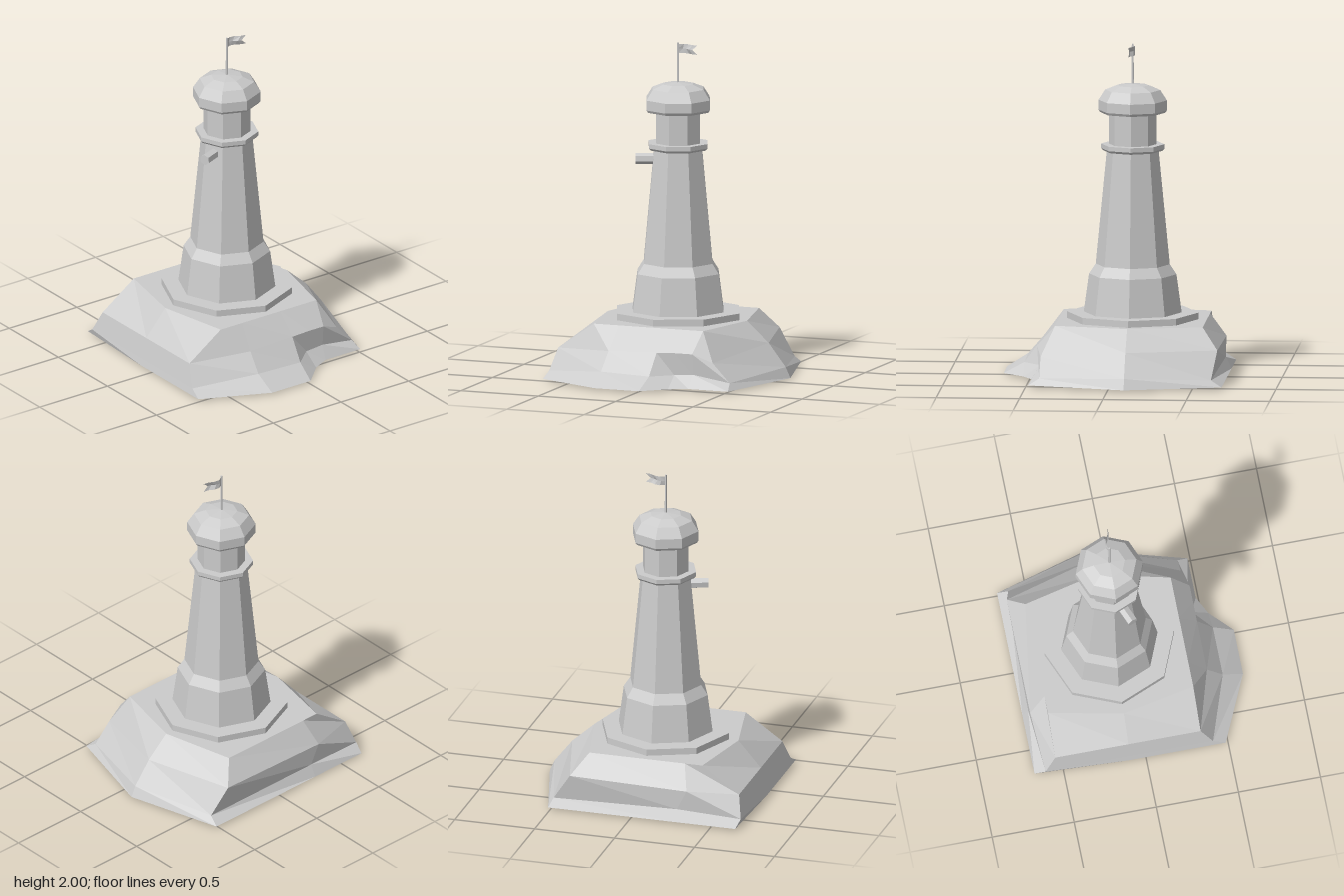
import * as THREE from 'three';

const CX = -0.045, CZ = -0.1; // tower axis

const grey = (double = false) => new THREE.MeshStandardMaterial({
  color: 0xcccccc, flatShading: true, side: double ? THREE.DoubleSide : THREE.FrontSide,
});

function add(parent, name, geometry, double) {
  const mesh = new THREE.Mesh(geometry, grey(double));
  mesh.name = name;
  parent.add(mesh);
  return mesh;
}

// Eight-sided turned part from [radius, height] pairs, listed bottom to top
function octagonal(parent, name, profile) {
  const points = profile.map(([r, y]) => new THREE.Vector2(r, y));
  return add(parent, name, new THREE.LatheGeometry(points, 8));
}

// Rock: columns run around the island, each going from the plateau to the shore
function rockGeometry() {
  const columns = [
    [[-.50, .34, -.10], [-.64, .18, -.10], [-.67, .05, -.10], [-.68, .01, -.10]],
    [[-.41, .34, .34], [-.64, .18, .34], [-.67, .05, .41], [-.68, .01, .485]],
    [[-.25, .34, .34], [-.27, .20, .45], [-.28, .09, .545], [-.27, .01, .67]],
    [[.03, .34, .34], [.04, .21, .45], [.03, .08, .545], [.015, .01, .67]],
    [[.17, .34, .34], [.16, .215, .45], [.15, .08, .44], [.15, .01, .54]],
    [[.296, .34, .34], [.27, .215, .45], [.27, .09, .44], [.26, .01, .485]],
    [[.296, .34, .34], [.39, .165, .42], [.50, .05, .42], [.515, .01, .485]],
    [[.40, .34, -.10], [.54, .215, -.10], [.65, .075, -.10], [.68, .01, -.10]],
    [[.296, .34, -.545], [.39, .215, -.64], [.50, .05, -.61], [.515, .01, -.675]],
    [[-.30, .34, -.545], [-.34, .20, -.64], [-.28, .08, -.64], [-.28, .01, -.675]],
    [[-.41, .34, -.545], [-.64, .18, -.545], [-.67, .05, -.61], [-.655, .01, -.675]],
  ];
  const n = columns.length;
  const position = columns.flat(2);
  position.push(CX, 0.34, CZ, CX, 0, CZ);
  const index = [];
  for (let i = 0; i < n; i++) {
    const a = i * 4, b = ((i + 1) % n) * 4;
    for (let r = 0; r < 3; r++) {
      index.push(a + r, a + r + 1, b + r + 1, a + r, b + r + 1, b + r);
    }
    index.push(n * 4, a, b);              // plateau
    index.push(n * 4 + 1, b + 3, a + 3);  // underside
  }
  const geometry = new THREE.BufferGeometry();
  geometry.setAttribute('position', new THREE.Float32BufferAttribute(position, 3));
  geometry.setIndex(index);
  geometry.computeVertexNormals();
  return geometry;
}

// Waving flag with a swallow tail; its hoist edge is at x = 0
function flagGeometry() {
  const geometry = new THREE.PlaneGeometry(0.13, 0.056, 4, 2);
  geometry.translate(0.065, 0, 0);
  const p = geometry.attributes.position;
  for (let i = 0; i < p.count; i++) {
    const x = p.getX(i);
    p.setZ(i, -0.016 * Math.sin(x / 0.13 * Math.PI * 1.6));
    if (Math.abs(p.getY(i)) < 0.001) p.setX(i, x * 0.75);
  }
  return geometry;
}

export function createModel() {
  const model = new THREE.Group();
  model.name = 'lighthouse';
  add(model, 'rockIsland', rockGeometry());

  const tower = new THREE.Group();
  tower.name = 'tower';
  tower.position.set(CX, 0, CZ);
  model.add(tower);

  octagonal(tower, 'plinth', [[0.395, 0.33], [0.395, 0.38], [0, 0.38]]);
  octagonal(tower, 'shaft', [[0.295, 0.37], [0.262, 0.61], [0.222, 0.67], [0.155, 1.36]]);
  octagonal(tower, 'galleryRing', [
    [0.15, 1.35], [0.178, 1.355], [0.19, 1.368], [0.19, 1.395], [0.13, 1.395]]);
  octagonal(tower, 'lanternRoom', [[0.142, 1.39], [0.142, 1.59]]);
  octagonal(tower, 'domeRoof', [
    [0.13, 1.585], [0.195, 1.585], [0.205, 1.6], [0.205, 1.66],
    [0.165, 1.722], [0.095, 1.75], [0, 1.76]]);

  // Horn pointing out of one shaft face, just below the gallery
  const horn = add(tower, 'horn', new THREE.CylinderGeometry(0.033, 0.033, 0.135, 6));
  const outward = new THREE.Vector3(-Math.cos(Math.PI / 8), 0, Math.sin(Math.PI / 8));
  horn.quaternion.setFromUnitVectors(new THREE.Vector3(0, 1, 0), outward);
  horn.position.copy(outward).multiplyScalar(0.1875).setY(1.295);

  const pole = add(tower, 'flagPole', new THREE.CylinderGeometry(0.006, 0.008, 0.25, 5));
  pole.position.y = 1.875;
  const flag = add(tower, 'flag', flagGeometry(), true);
  flag.position.y = 1.963;

  return model;
}
